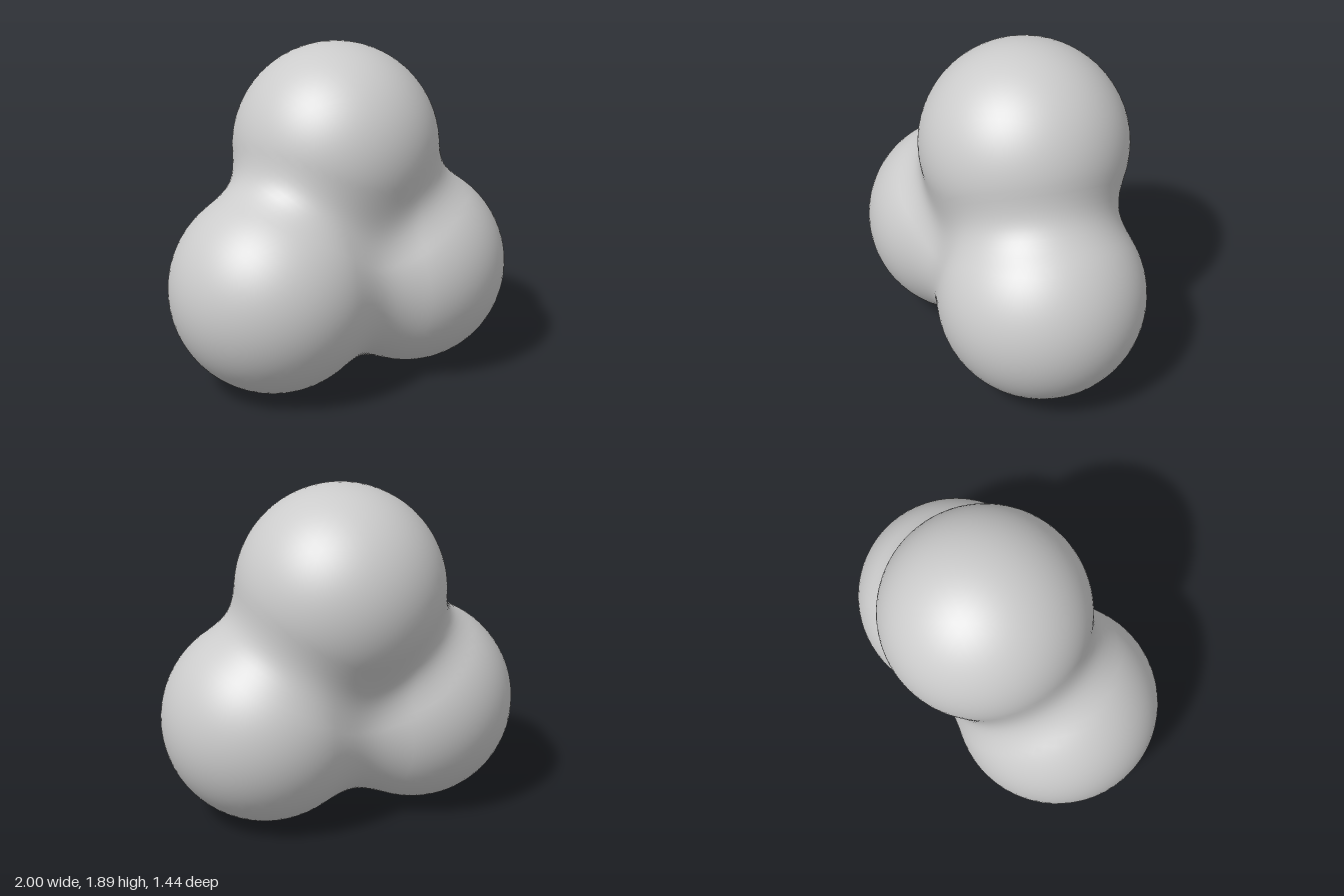
import * as THREE from 'three';

// Three equal lobes: two low ones side by side, one resting on top
const RADIUS = 0.58;
const LOBES = [
  new THREE.Vector3(-0.42, 0.585, 0.14),
  new THREE.Vector3(0.42, 0.58, -0.14),
  new THREE.Vector3(0, 1.31, -0.12),
];

// Rounded union of two distances, k is the width of the fillet
function blend(a, b, k) {
  const h = Math.max(k - Math.abs(a - b), 0);
  return Math.min(a, b) - (h * h) / (4 * k);
}

// Signed distance to the blended body
function distance(p) {
  const [a, b, c] = LOBES.map((centre) => p.distanceTo(centre) - RADIUS);
  return blend(blend(a, b, 0.28), c, 0.22);
}

function surfaceNormal(p) {
  const e = 0.002;
  const slope = (axis) => {
    const q = p.clone().setComponent(axis, p.getComponent(axis) + e);
    const r = p.clone().setComponent(axis, p.getComponent(axis) - e);
    return distance(q) - distance(r);
  };
  return new THREE.Vector3(slope(0), slope(1), slope(2)).normalize();
}

// Push each vertex of a ball out from the shared core to the blended surface
function blendedGeometry() {
  const geometry = new THREE.IcosahedronGeometry(1, 20);
  const position = geometry.attributes.position;
  const normal = geometry.attributes.normal;
  const core = new THREE.Vector3(0, 0.825, -0.04);
  const direction = new THREE.Vector3();
  const point = new THREE.Vector3();
  for (let i = 0; i < position.count; i++) {
    direction.fromBufferAttribute(position, i).normalize();
    let near = 0;
    let far = 1.6;
    for (let step = 0; step < 22; step++) {
      const mid = (near + far) / 2;
      point.copy(core).addScaledVector(direction, mid);
      if (distance(point) < 0) near = mid;
      else far = mid;
    }
    const n = surfaceNormal(point);
    position.setXYZ(i, point.x, point.y, point.z);
    normal.setXYZ(i, n.x, n.y, n.z);
  }
  return geometry;
}

export function createModel() {
  const group = new THREE.Group();
  group.name = 'blendedSpheres';
  const body = new THREE.Mesh(
    blendedGeometry(),
    new THREE.MeshStandardMaterial({ color: 0xcccccc }),
  );
  body.name = 'threeLobedBody';
  group.add(body);
  return group;
}
